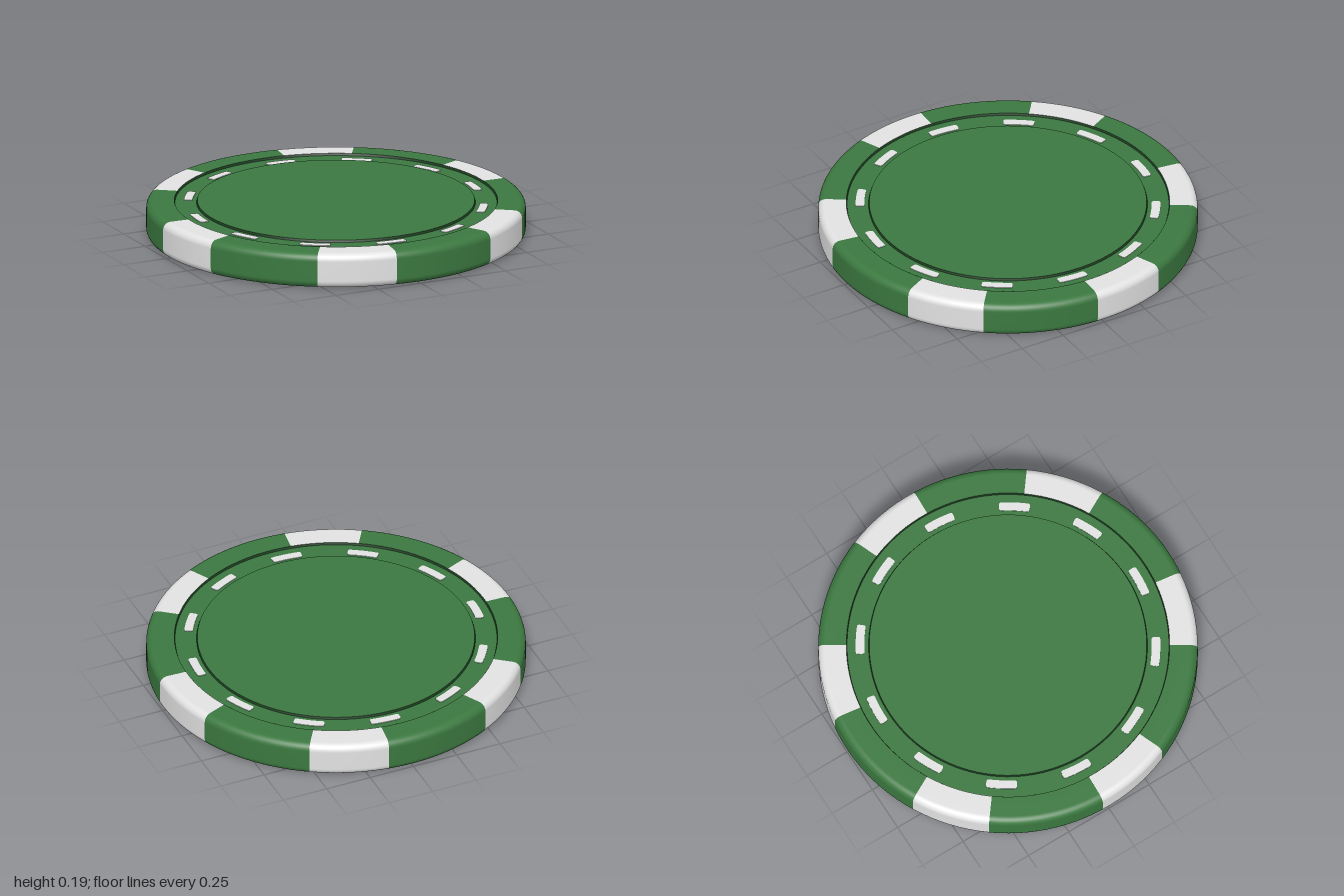
import * as THREE from 'three';

const H = 0.187;          // chip thickness
const STEP = 0.012;       // depth of the recessed band
const BEVEL = 0.04;       // rounding of the outer edge
const RIM_IN = 0.852, BAND_OUT = 0.848, BAND_IN = 0.735, DISC = 0.731;
const rad = THREE.MathUtils.degToRad;

const mat = (name, color, side = THREE.FrontSide) => {
  const m = new THREE.MeshStandardMaterial({ color, side });
  m.name = name;
  return m;
};

export function createModel() {
  const green = mat('green', 0x3b7840);
  const white = mat('white', 0xe2e2e2);
  const dark = mat('darkGreen', 0x1c3d20, THREE.DoubleSide);
  const chip = new THREE.Group();
  chip.name = 'chip';

  const add = (name, geometry, material) => {
    const mesh = new THREE.Mesh(geometry, material);
    mesh.name = name;
    chip.add(mesh);
    return mesh;
  };
  // Angles are in degrees from +x towards -z
  const lathe = (name, pts, material, start = 0, span = 360, segments = 120) =>
    add(name, new THREE.LatheGeometry(
      pts.map(([r, y]) => new THREE.Vector2(r, y)), segments, rad(start + 90), rad(span)), material);

  // Rim profile: underside, rounded edge, side, rounded edge, top
  const rim = [[RIM_IN, 0], [0.9, 0]];
  for (const [cy, from] of [[BEVEL, -90], [H - BEVEL, 0]]) {
    for (let i = 0; i <= 8; i++) {
      const t = rad(from + i * 90 / 8);
      rim.push([1 - BEVEL + BEVEL * Math.cos(t), cy + BEVEL * Math.sin(t)]);
    }
  }
  rim.push([0.9, H], [RIM_IN, H]);

  // Six white blocks alternating with green around the rim
  const block = 24.3;
  for (let i = 0; i < 6; i++) {
    const start = 10 - block / 2 + i * 60;
    lathe('rimWhiteBlock', rim, white, start, block, 8);
    lathe('rimGreenBlock', rim, green, start + block, 60 - block, 12);
  }

  // Both faces: recessed band with dark step walls and a raised centre
  for (const top of [true, false]) {
    const side = top ? 'top' : 'bottom';
    const face = (pts) => top ? pts : pts.map(([r, y]) => [r, H - y]).reverse();
    lathe(side + 'OuterStep', face([[RIM_IN, H], [BAND_OUT, H - STEP]]), dark);
    lathe(side + 'Band', face([[BAND_OUT, H - STEP], [BAND_IN, H - STEP]]), green);
    lathe(side + 'InnerStep', face([[BAND_IN, H - STEP], [DISC, H]]), dark);
    lathe(side + 'Centre', face([[DISC, H], [0, H]]), green);
  }

  // Curved dash with softened corners
  const r0 = 0.757, r1 = 0.803, half = 6, c = 0.013, ca = 1;
  const p = (r, a) => [r * Math.cos(rad(a)), r * Math.sin(rad(a))];
  const dash = new THREE.Shape();
  dash.moveTo(...p(r1, -half + ca));
  dash.absarc(0, 0, r1, rad(-half + ca), rad(half - ca), false);
  dash.quadraticCurveTo(...p(r1, half), ...p(r1 - c, half));
  dash.lineTo(...p(r0 + c, half));
  dash.quadraticCurveTo(...p(r0, half), ...p(r0, half - ca));
  dash.absarc(0, 0, r0, rad(half - ca), rad(-half + ca), true);
  dash.quadraticCurveTo(...p(r0, -half), ...p(r0 + c, -half));
  dash.lineTo(...p(r1 - c, -half));
  dash.quadraticCurveTo(...p(r1, -half), ...p(r1, -half + ca));
  const plate = 0.005;
  const dashGeometry = new THREE.ExtrudeGeometry(dash, { depth: plate, bevelEnabled: false, curveSegments: 6 });
  dashGeometry.rotateX(-Math.PI / 2);

  // Twelve dashes on each band
  for (let i = 0; i < 12; i++) {
    for (const [name, y] of [['topDash', H - STEP - 0.002], ['bottomDash', STEP + 0.002 - plate]]) {
      const mesh = add(name, dashGeometry, white);
      mesh.position.y = y;
      mesh.rotation.y = rad(25.4 + i * 30);
    }
  }
  return chip;
}
